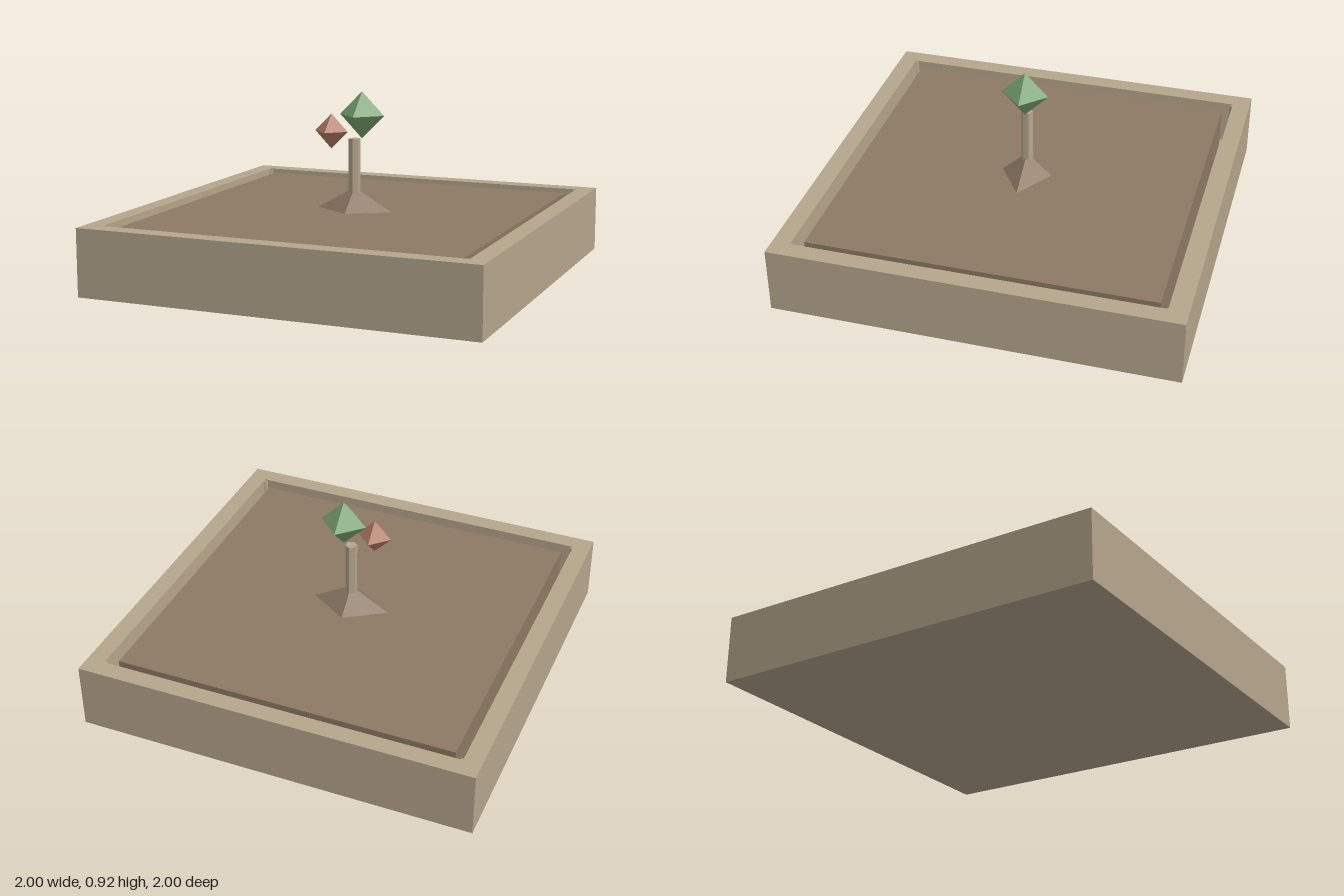
import * as THREE from 'three';

const material = (name, color) => {
  const m = new THREE.MeshStandardMaterial({ color });
  m.name = name;
  return m;
};

export function createModel() {
  const model = new THREE.Group();
  model.name = 'planterTray';

  const stone = material('sandstone', 0xb5a58c);
  const soil = material('soil brown', 0x8d7964);
  const leaf = material('leaf green', 0x7ba574);
  const clay = material('clay red', 0xb37c66);
  for (const m of [stone, soil, leaf, clay]) m.flatShading = true;

  const add = (name, geometry, mat, x = 0, y = 0, z = 0) => {
    const mesh = new THREE.Mesh(geometry, mat);
    mesh.name = name;
    mesh.position.set(x, y, z);
    model.add(mesh);
    return mesh;
  };

  const H = 0.335;      // rim height
  const INNER = 0.91;   // half width inside the rim
  const SOIL = 0.86;    // half width of the soil bed

  // Square rim with an open middle
  const square = (path, s) => path.moveTo(-s, -s).lineTo(s, -s).lineTo(s, s).lineTo(-s, s).closePath();
  const ring = square(new THREE.Shape(), 1);
  ring.holes.push(square(new THREE.Path(), INNER));
  const rim = new THREE.ExtrudeGeometry(ring, { depth: H, bevelEnabled: false });
  rim.rotateX(-Math.PI / 2);
  add('rim', rim, stone);

  // Floor, leaving a groove around the soil
  add('floor', new THREE.BoxGeometry(INNER * 2, 0.1, INNER * 2), stone, 0, 0.05, 0);
  add('soilBed', new THREE.BoxGeometry(SOIL * 2, 0.22, SOIL * 2), soil, 0, 0.21, 0);

  // Slim posts in the inner corners
  for (const x of [-1, 1]) for (const z of [-1, 1]) {
    add('cornerPost', new THREE.CylinderGeometry(0.025, 0.025, H - 0.01, 8), stone,
      x * 0.916, H / 2, z * 0.916);
  }

  // Diamond-shaped mound and six-sided stem
  const mound = add('mound', new THREE.CylinderGeometry(0.03, 0.205, 0.1, 4), soil, 0, 0.367, 0);
  mound.scale.z = 0.64;
  add('stem', new THREE.CylinderGeometry(0.03, 0.03, 0.3, 6), stone, 0, 0.532, 0);

  // Faceted crown and bud
  add('crown', new THREE.OctahedronGeometry(0.118), leaf, 0.04, 0.803, 0);
  add('bud', new THREE.OctahedronGeometry(0.088), clay, -0.1, 0.722, 0.06);

  return model;
}
